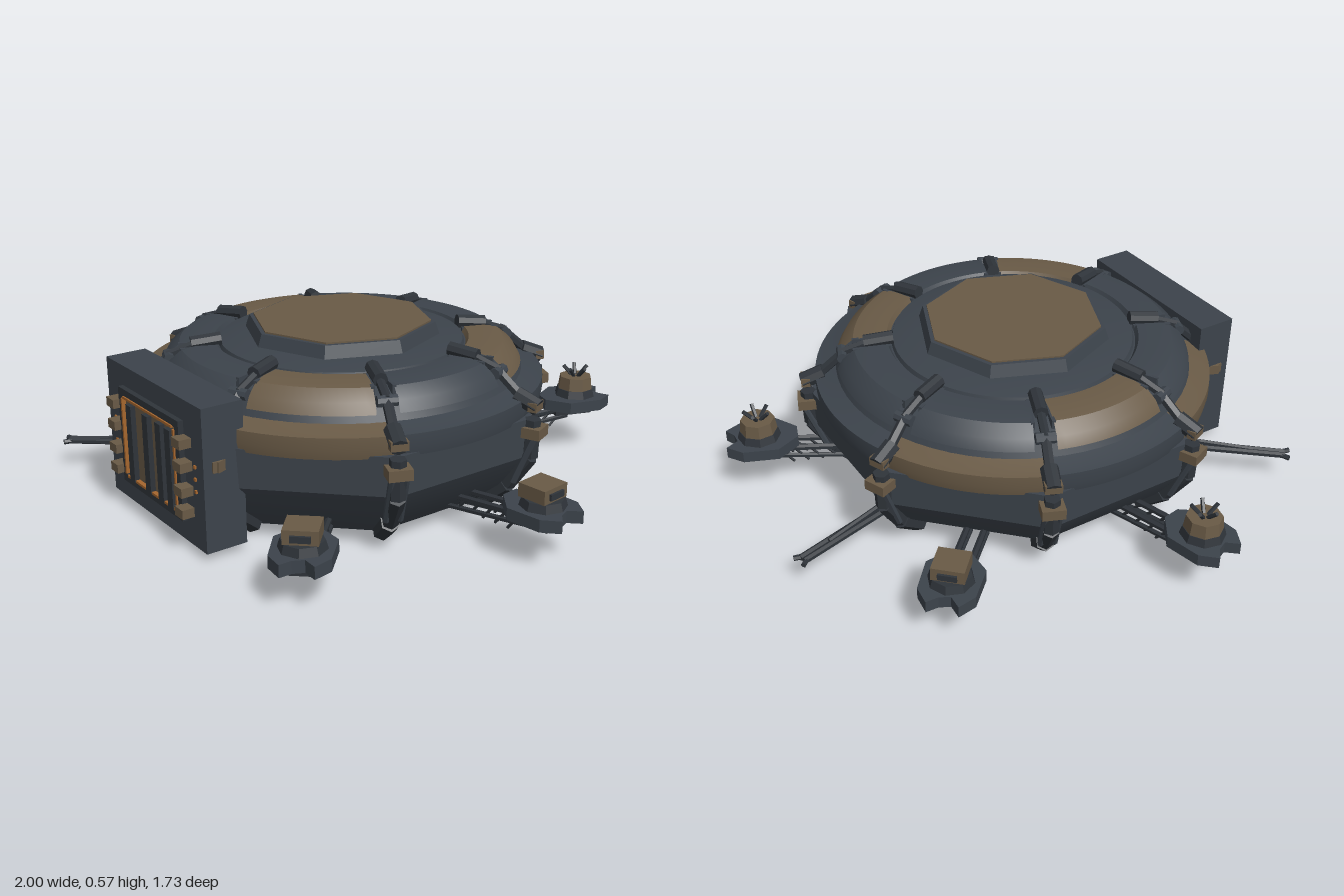
import * as THREE from 'three';
import { toCreasedNormals } from 'three/addons/utils/BufferGeometryUtils.js';

const make = (name, color) => {
  const m = new THREE.MeshStandardMaterial({ color });
  m.name = name;
  return m;
};
const V = (x, y, z) => new THREE.Vector3(x, y, z);

export function createModel() {
  const slate = make('slate hull', 0x3c434b);
  const dark = make('dark metal', 0x2f343a);
  const tan = make('tan panel', 0x695a46);
  const orange = make('orange light', 0xa5662e);

  const model = new THREE.Group();
  model.name = 'domedBase';
  // everything radial hangs on the dome axis
  const dome = new THREE.Group();
  dome.name = 'dome';
  dome.position.set(-0.014, 0, 0.09);
  model.add(dome);

  const add = (parent, name, geometry, material, x = 0, y = 0, z = 0) => {
    const mesh = new THREE.Mesh(geometry, material);
    mesh.name = name;
    mesh.position.set(x, y, z);
    parent.add(mesh);
    return mesh;
  };
  const box = (parent, name, mat, w, h, d, x, y, z) =>
    add(parent, name, new THREE.BoxGeometry(w, h, d), mat, x, y, z);
  const rod = (parent, name, mat, a, b, r, sides = 6) => {
    const dir = b.clone().sub(a);
    const geo = new THREE.CylinderGeometry(r, r, dir.length(), sides);
    const mesh = add(parent, name, toCreasedNormals(geo, 0.6), mat);
    mesh.position.copy(a).add(b).multiplyScalar(0.5);
    mesh.quaternion.setFromUnitVectors(V(0, 1, 0), dir.normalize());
    return mesh;
  };
  const lathe = (points, segments, start = 0, length = Math.PI * 2) =>
    toCreasedNormals(new THREE.LatheGeometry(
      points.map(([r, y]) => new THREE.Vector2(r, y)), segments, start, length), 0.4);
  // local +z of a spoke points outward; angle 0 is the front, 90 degrees is +x
  const spoke = (name, angle) => {
    const g = new THREE.Group();
    g.name = name;
    g.rotation.y = angle;
    dome.add(g);
    return g;
  };

  // eight-sided lower hull, corners under the ribs
  const corner = 1 / Math.cos(Math.PI / 8);
  const hull = [[0, 0.02], [0.485, 0.02], [0.575, 0.1], [0.645, 0.21], [0.65, 0.34], [0, 0.34]]
    .map(([r, y]) => [r * corner, y]);
  add(dome, 'lowerHull', lathe(hull, 8, Math.PI / 8), slate);

  // round shoulder and roof
  add(dome, 'shoulder', lathe([[0.665, 0.39], [0.61, 0.415], [0.59, 0.46], [0.5, 0.495],
    [0.415, 0.495], [0.41, 0.51], [0.33, 0.525], [0, 0.525]], 64), slate);

  // belt and roof panels, one of each for every side of the hull
  const tanBelt = [1, 5, 7];
  const tanRoof = [1, 3, 6];
  for (let i = 0; i < 8; i++) {
    const start = (i - 0.5) * Math.PI / 4;
    add(dome, 'beltPanel', lathe([[0.62, 0.33], [0.675, 0.33], [0.681, 0.36], [0.68, 0.4], [0.655, 0.404], [0.6, 0.42]],
      12, start, Math.PI / 4), tanBelt.includes(i) ? tan : slate);
    const gap = 0.06;
    const roof = lathe([[0.57, 0.44], [0.605, 0.44], [0.585, 0.475], [0.545, 0.507], [0.5, 0.514], [0.43, 0.512], [0.42, 0.495]],
      14, start + gap, Math.PI / 4 - gap * 2);
    add(dome, 'roofPanel', roof, tanRoof.includes(i) ? tan : slate);
    // closed ends of the roof panels
    for (const s of [-1, 1]) {
      const end = spoke('panelEnd', start + Math.PI / 8 + s * (Math.PI / 8 - gap));
      box(end, 'panelEndRail', slate, 0.012, 0.03, 0.13, 0, 0.495, 0.485);
    }
  }

  // eight-sided cap with a tan top plate
  add(dome, 'capRim', toCreasedNormals(new THREE.CylinderGeometry(0.318, 0.337, 0.055, 8), 0.3), slate, 0, 0.539);
  add(dome, 'capPlate', toCreasedNormals(new THREE.CylinderGeometry(0.304, 0.304, 0.006, 8), 0.3), tan, 0, 0.569);

  // jointed ribs
  for (let i = 0; i < 8; i++) {
    const rib = spoke('rib', (i + 0.5) * Math.PI / 4);
    const path = [V(0, 0.025, 0.535), V(0, 0.1, 0.63), V(0, 0.21, 0.705), V(0, 0.34, 0.71)];
    for (let k = 0; k < 3; k++) rod(rib, 'ribBeam', dark, path[k], path[k + 1], k === 0 ? 0.032 : 0.027);
    for (const x of [-0.022, 0.022]) rod(rib, 'ribRail', slate, V(x, 0.12, 0.66), V(x, 0.3, 0.732), 0.011);
    box(rib, 'ribClamp', tan, 0.075, 0.035, 0.065, 0, 0.3, 0.715);
    rod(rib, 'ribKnuckle', dark, V(0, 0.38, 0.725), V(0, 0.41, 0.65), 0.029, 8);
    box(rib, 'ribCollar', tan, 0.055, 0.03, 0.03, 0, 0.385, 0.715);
    rod(rib, 'ribLink', dark, V(0, 0.41, 0.66), V(0, 0.48, 0.58), 0.017);
    rod(rib, 'ribLink', dark, V(0, 0.48, 0.59), V(0, 0.51, 0.5), 0.015);
    rod(rib, 'ribHinge', slate, V(-0.032, 0.475, 0.585), V(0.032, 0.475, 0.585), 0.019, 8);
    rod(rib, 'ribHead', dark, V(0, 0.515, 0.51), V(0, 0.525, 0.41), 0.024, 8);
  }

  // lattice arm: two rails above, two below, with cross braces
  const arm = (g, top, half) => {
    const inner = 0.52, outer = 0.85;
    for (const x of [-half, half]) {
      rod(g, 'armRail', dark, V(x, top - 0.035, inner), V(x, top, outer), 0.011);
      rod(g, 'armLowerRail', dark, V(x, top - 0.075, inner), V(x, top - 0.03, outer), 0.009);
      for (let k = 0; k < 5; k++) {
        const z = 0.58 + k * 0.05;
        rod(g, 'armBrace', dark, V(x, top - 0.065, z), V(x, top - 0.018, z + 0.04), 0.005, 4);
      }
    }
  };

  // outrigger platforms
  const outline = [[-0.03, -0.13], [0.03, -0.13], [0.095, -0.06], [0.09, 0.06], [0.05, 0.113], [0.018, 0.075],
    [-0.018, 0.085], [-0.05, 0.113], [-0.09, 0.06], [-0.095, -0.06]];
  const deck = new THREE.ExtrudeGeometry(
    new THREE.Shape(outline.map(([x, y]) => new THREE.Vector2(x, y))), { depth: 0.04, bevelEnabled: false });
  deck.rotateX(Math.PI / 2);
  const platforms = [ // x, z, top height, has a spiked drum
    [0.30, -0.84, 0.225, true], [-0.64, -0.62, 0.19, false], [0.88, -0.1, 0.2, false],
    [-0.88, 0.15, 0.2, true], [0.645, 0.6, 0.18, false]];
  for (const [x, z, top, spiked] of platforms) {
    const g = spoke('outrigger', Math.atan2(x, z));
    arm(g, top - 0.065, 0.028);
    add(g, 'platform', deck, slate, 0, top - 0.025, 0.89);
    add(g, 'platformBase', toCreasedNormals(new THREE.CylinderGeometry(0.066, 0.075, 0.03, 8), 0.4), dark, 0, top - 0.013, 0.89);
    box(g, 'platformKeel', dark, 0.08, 0.03, 0.14, 0, top - 0.075, 0.87);
    if (spiked) {
      add(g, 'drum', toCreasedNormals(new THREE.CylinderGeometry(0.058, 0.064, 0.045, 8), 0.4), tan, 0, top + 0.024, 0.89);
      for (let k = 0; k < 5; k++) {
        const a = k * Math.PI * 0.4, s = Math.sin(a), c = Math.cos(a);
        rod(g, 'spike', dark, V(s * 0.012, top + 0.045, 0.89 + c * 0.012), V(s * 0.045, top + 0.08, 0.89 + c * 0.045), 0.007, 5);
      }
    } else {
      box(g, 'turretBox', tan, 0.105, 0.045, 0.1, 0, top + 0.024, 0.885);
      box(g, 'turretVent', dark, 0.06, 0.02, 0.01, 0, top + 0.022, 0.938);
    }
  }

  // two bare booms with forked tips
  for (const [x, z] of [[-0.26, -0.96], [-0.64, 0.75]]) {
    const g = spoke('boom', Math.atan2(x, z));
    for (const s of [-1, 1]) {
      rod(g, 'boomRail', dark, V(s * 0.012, 0.1, 0.52), V(s * 0.01, 0.098, 0.97), 0.011);
      rod(g, 'boomTip', dark, V(s * 0.008, 0.098, 0.955), V(s * 0.024, 0.098, 0.985), 0.009);
    }
    rod(g, 'boomBrace', dark, V(0, 0.125, 0.56), V(0, 0.105, 0.86), 0.009);
  }

  // gatehouse at the front
  const gate = new THREE.Group();
  gate.name = 'gatehouse';
  gate.position.set(-0.013, 0, 0.81);
  model.add(gate);
  box(gate, 'gateBlock', slate, 0.615, 0.465, 0.14, 0, 0.2575, -0.068);
  box(gate, 'doorBack', tan, 0.35, 0.28, 0.012, 0, 0.25, 0.004);
  for (const s of [-1, 1]) {
    box(gate, 'doorJamb', dark, 0.025, 0.325, 0.022, s * 0.185, 0.26, 0.009);
    box(gate, 'doorLintel', dark, 0.395, 0.025, 0.022, 0, 0.26 + s * 0.15, 0.009);
    box(gate, 'doorTrim', orange, 0.32, 0.008, 0.03, 0, 0.26 + s * 0.136, 0.01);
    box(gate, 'doorTrim', orange, 0.008, 0.26, 0.03, s * 0.17, 0.26, 0.01);
    for (const y of [0.14, 0.21, 0.29, 0.365]) box(gate, 'doorClamp', tan, 0.048, 0.03, 0.042, s * 0.217, y, 0.022);
    for (const y of [0.215, 0.255, 0.295]) box(gate, 'signalLight', orange, 0.01, 0.01, 0.008, s * 0.262, y, 0.004);
    box(gate, 'sideHatch', tan, 0.008, 0.035, 0.025, s * 0.309, 0.3, -0.04);
  }
  for (const x of [-0.12, -0.01, 0.075, 0.135]) box(gate, 'doorBar', dark, 0.034, 0.26, 0.022, x, 0.25, 0.016);

  return model;
}
